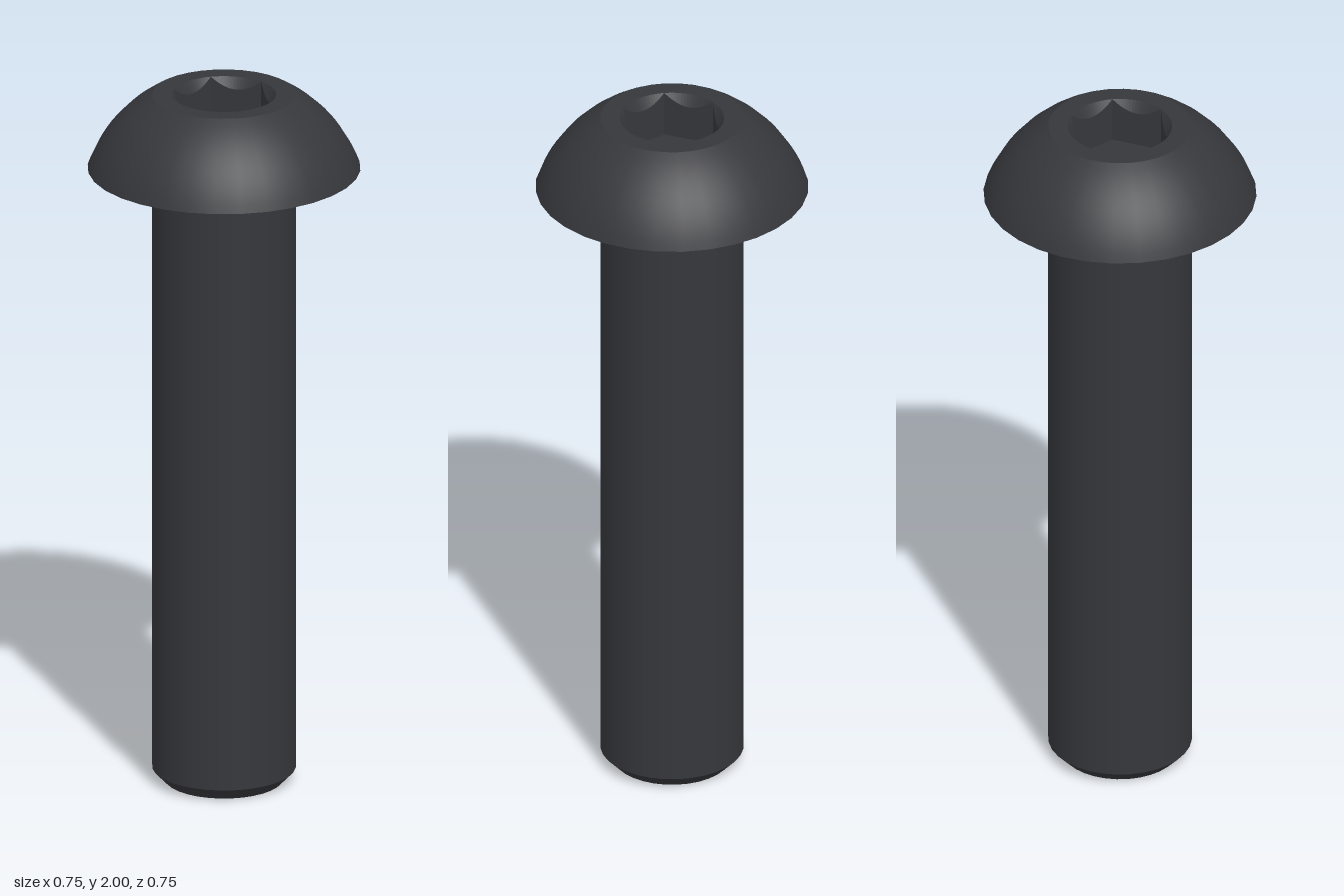
import * as THREE from 'three';

const SIDES = 32;     // facets around head and shank
const STEPS = 96;     // steps around the socket, divisible by 32 and 6
const HEAD_Y = 1.786; // underside of the head
const RIM = 0.197, SOCKET = 0.143, SHANK = 0.1975;

// Radius of a regular polygon (corner on +x) in direction a
function polygonRadius(corner, sides, a) {
  const step = (2 * Math.PI) / sides;
  return corner * Math.cos(step / 2) / Math.cos((a % step) - step / 2);
}

// Closed loop of points; radius and height are functions of the angle
function loop(radius, height) {
  return Array.from({ length: STEPS }, (_, i) => {
    const a = (i / STEPS) * Math.PI * 2 + 1e-9;
    return [radius(a) * Math.cos(a), height(a), radius(a) * Math.sin(a)];
  });
}

// Band of faces from an outer loop to an inner loop
function bridge(outer, inner) {
  const pos = [];
  for (let i = 0; i < STEPS; i++) {
    const j = (i + 1) % STEPS;
    pos.push(...outer[i], ...inner[i], ...outer[j], ...outer[j], ...inner[i], ...inner[j]);
  }
  const geo = new THREE.BufferGeometry();
  geo.setAttribute('position', new THREE.Float32BufferAttribute(pos, 3));
  geo.computeVertexNormals();
  return geo;
}

export function createModel() {
  const model = new THREE.Group();
  model.name = 'socketScrew';
  const material = new THREE.MeshStandardMaterial({ color: 0x36373b });

  const add = (name, geometry) => {
    const mesh = new THREE.Mesh(geometry, material);
    mesh.name = name;
    model.add(mesh);
  };
  const turned = (name, points) =>
    add(name, new THREE.LatheGeometry(points.map(([r, y]) => new THREE.Vector2(r, y)), SIDES));

  // Shank with chamfered tip and a small fillet under the head
  const fillet = 0.01;
  turned('tipFace', [[0, 0], [0.163, 0]]);
  turned('tipChamfer', [[0.163, 0], [SHANK, 0.036]]);
  turned('shank', [[SHANK, 0.036], [SHANK, HEAD_Y - fillet]]);
  turned('shankFillet', Array.from({ length: 5 }, (_, i) => {
    const a = (i / 4) * Math.PI / 2;
    return [SHANK + fillet * (1 - Math.cos(a)), HEAD_Y - fillet * (1 - Math.sin(a))];
  }));

  // Domed head: an arc centred on the axis
  const centreY = 1.655;
  const a0 = Math.atan2(HEAD_Y - centreY, 0.375);
  const a1 = Math.atan2(2 - centreY, RIM);
  const R = Math.hypot(RIM, 2 - centreY);
  turned('headUnderside', [[SHANK + fillet, HEAD_Y], [0.375, HEAD_Y]]);
  turned('headDome', Array.from({ length: 13 }, (_, i) => {
    const a = a0 + (a1 - a0) * (i / 12);
    return [R * Math.cos(a), centreY + R * Math.sin(a)];
  }));

  // Hexagonal socket with a conical lead-in that scallops its walls
  const hex = (a) => polygonRadius(SOCKET, 6, a);
  const top = () => 2, bottom = () => 1.87;
  const rimLoop = loop((a) => polygonRadius(RIM, SIDES, a), top);
  const mouthLoop = loop(() => SOCKET, top);
  const scallopLoop = loop(hex, (a) => 2 - (SOCKET - hex(a)) * 1.6);
  const floorLoop = loop(hex, bottom);
  add('headTopFace', bridge(rimLoop, mouthLoop));
  add('socketLeadIn', bridge(mouthLoop, scallopLoop));
  add('socketWalls', bridge(scallopLoop, floorLoop));
  add('socketFloor', bridge(floorLoop, loop(() => 0, bottom)));

  return model;
}
